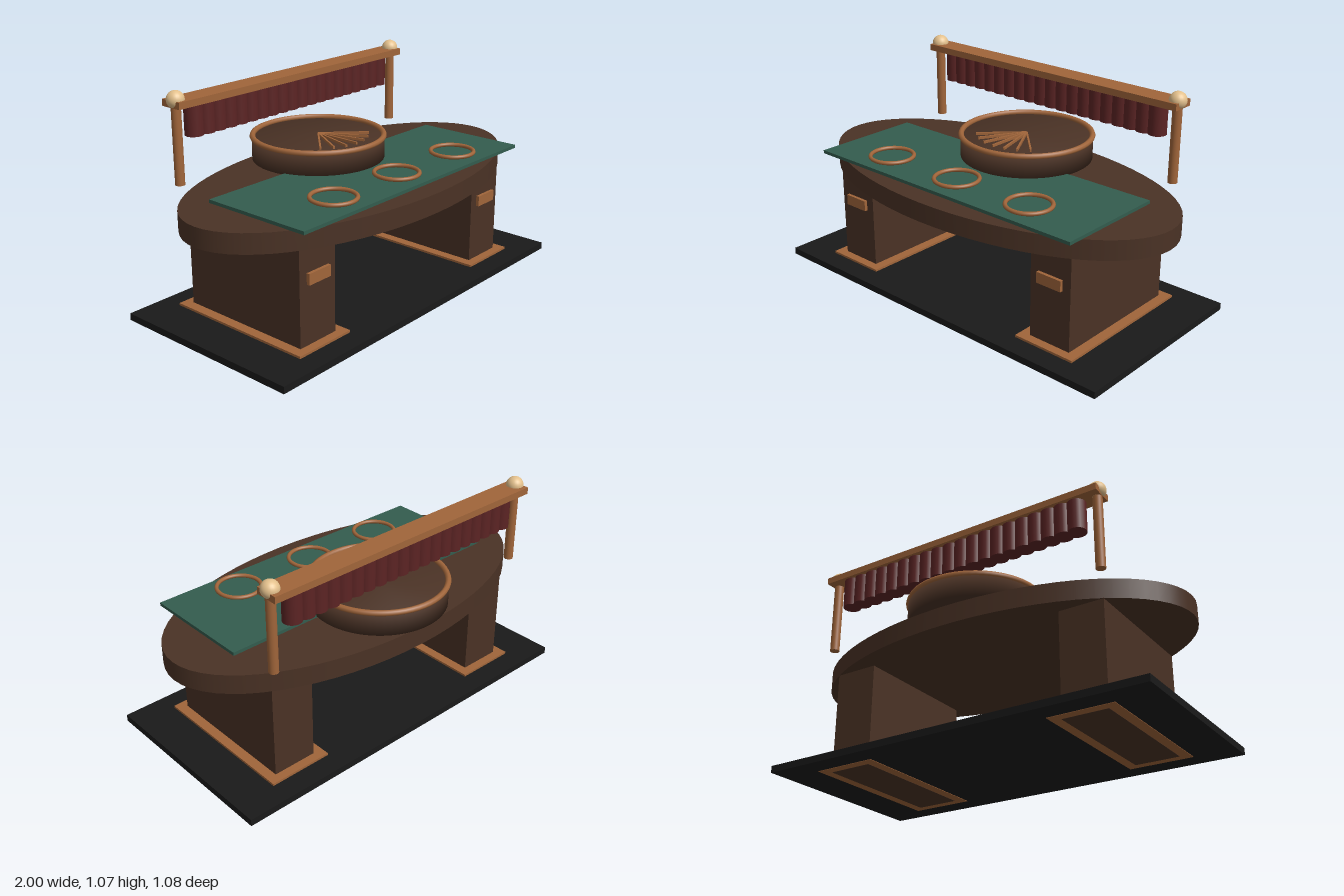
import * as THREE from 'three';

const mat = (color) => new THREE.MeshStandardMaterial({ color });

export function createModel() {
  const group = new THREE.Group();
  const wood = mat(0x4a3225), copper = mat(0xa0653a), black = mat(0x1a1a1a);
  const felt = mat(0x335c4e), drape = mat(0x5c2424), ivory = mat(0xe3c08c);

  const add = (name, geometry, material, x, y, z) => {
    const mesh = new THREE.Mesh(geometry, material);
    mesh.name = name;
    mesh.position.set(x, y, z);
    group.add(mesh);
    return mesh;
  };
  // box given by its centre in x and its y and z ranges
  const box = (name, material, x, width, y0, y1, z0, z1) =>
    add(name, new THREE.BoxGeometry(width, y1 - y0, z1 - z0), material, x, (y0 + y1) / 2, (z0 + z1) / 2);
  const ring = (name, radius, tube, sides, x, y, z) => {
    add(name, new THREE.TorusGeometry(radius, tube, sides, 64), copper, x, y, z).rotation.x = Math.PI / 2;
  };

  // base, oval top and cloth panel
  box('floorPlate', black, 0, 1.986, 0.003, 0.037, -0.473, 0.519);
  const top = add('tableTop', new THREE.CylinderGeometry(1, 1, 0.095, 64), wood, 0, 0.5515, 0.024);
  top.scale.z = 0.516;
  box('clothPanel', felt, 0, 1.57, 0.607, 0.623, -0.125, 0.445);

  // pedestals with foot trim and badge, canopy posts with finials
  for (const s of [-1, 1]) {
    box('pedestal', wood, s * 0.628, 0.222, 0, 0.51, -0.323, 0.37);
    box('footTrim', copper, s * 0.628, 0.32, 0.001, 0.048, -0.367, 0.414);
    box('badge', copper, s * 0.628, 0.134, 0.335, 0.388, 0.36, 0.386);
    add('canopyPost', new THREE.CylinderGeometry(0.023, 0.023, 0.37, 24), copper, s * 0.75, 0.813, -0.358);
    add('finial', new THREE.SphereGeometry(0.042, 24, 16), ivory, s * 0.75, 1.025, -0.358);
  }

  // place rings on the cloth
  for (const x of [-0.44, 0, 0.44]) ring('placeRing', 0.106, 0.01, 10, x, 0.641, 0.295);

  // round drum with softened shading, rim and fan of ribs
  const profile = [[0, 0.617], [0.327, 0.617], [0.327, 0.724], [0, 0.726]]
    .map(([x, y]) => new THREE.Vector2(x, y));
  add('drum', new THREE.LatheGeometry(profile, 64), wood, 0, 0, -0.2);
  ring('drumRim', 0.323, 0.014, 8, 0, 0.731, -0.2);
  for (let i = -3; i <= 3; i++) {
    const rib = new THREE.BoxGeometry(0.009, 0.012, 0.25);
    rib.translate(0, 0, 0.125);
    add('fanRib', rib, copper, 0, 0.733, -0.2).rotation.y = i * Math.PI / 12;
  }

  // canopy beam and hanging folds
  box('canopyBeam', copper, 0, 1.55, 0.99, 1.023, -0.42, -0.305);
  const folds = 20;
  for (let i = 0; i < folds; i++) {
    const x = -0.647 + (1.294 * i) / (folds - 1);
    add('drapeFold', new THREE.CylinderGeometry(0.045, 0.045, 0.155, 16), drape, x, 0.9175, -0.364);
  }
  return group;
}
